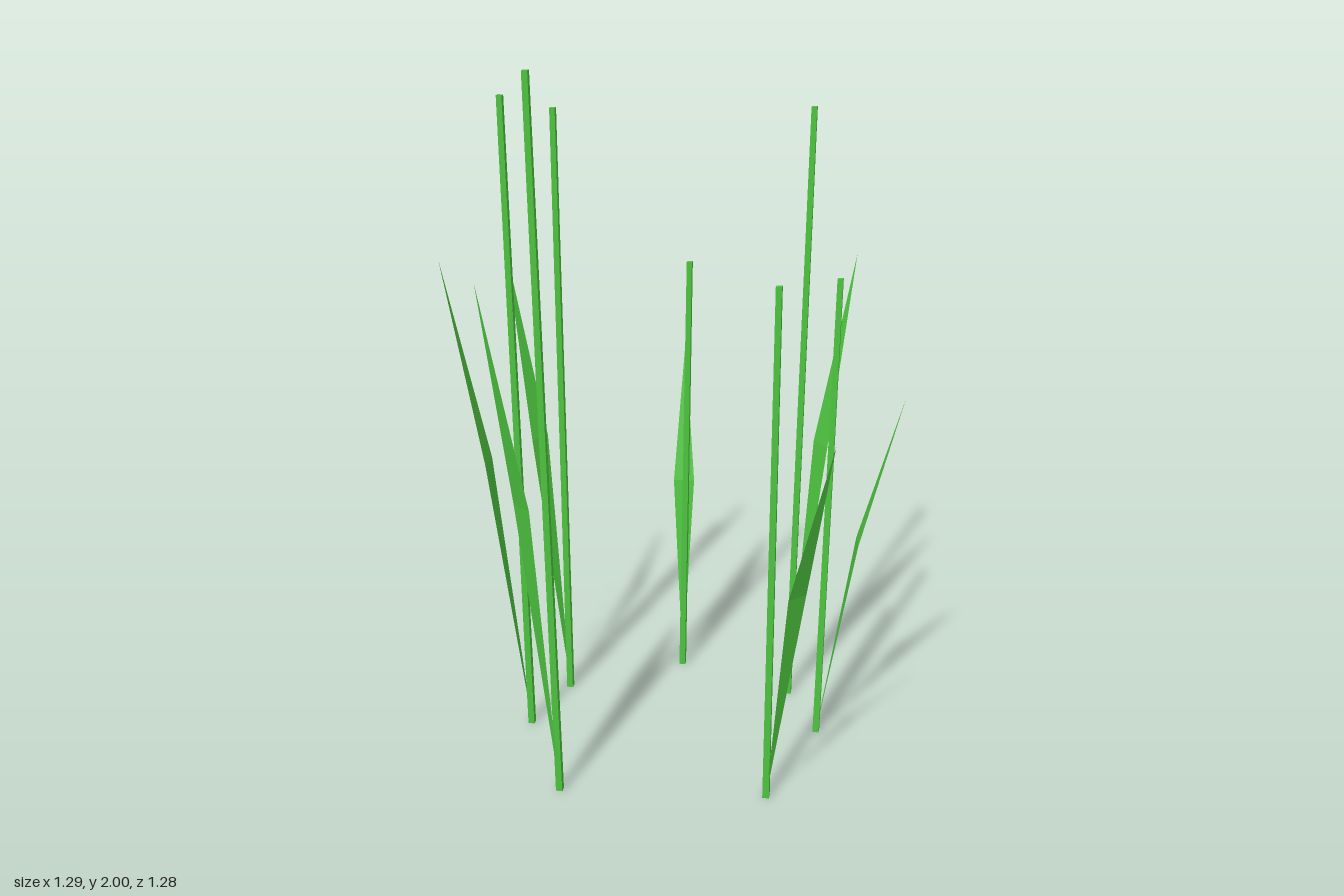
import * as THREE from 'three';

// Each plant: stalk base x, base z, height, top x, leaf tip x, leaf tip z
const PLANTS = [
  [-0.431, 0.065, 2.0, -0.468, -0.645, 0.102],
  [-0.323, -0.295, 1.885, -0.353, -0.48, -0.451],
  [-0.118, -0.418, 1.815, -0.128, -0.175, -0.64],
  [0.032, 0.413, 1.475, 0.036, 0.051, 0.638],
  [0.258, -0.345, 1.335, 0.28, 0.389, -0.53],
  [0.362, 0.218, 1.395, 0.392, 0.54, 0.34],
  [0.429, -0.008, 1.82, 0.464, 0.642, -0.012],
];

// Four-sided tapering stalk, leaning sideways
function stalkGeometry(height, lean) {
  const geo = new THREE.CylinderGeometry(0.011, 0.013, height, 4);
  geo.translate(0, height / 2, 0);
  const p = geo.attributes.position;
  for (let i = 0; i < p.count; i++) p.setX(i, p.getX(i) + lean * p.getY(i) / height);
  geo.computeVertexNormals();
  return geo;
}

// Diamond blade bent across its widest line: root, two shoulders, tip
function leafGeometry(height, dx, dz) {
  const reach = Math.hypot(dx, dz);
  const sx = (-dz / reach) * 0.032, sz = (dx / reach) * 0.032;
  const mid = 0.46, midY = 0.447 * height;
  const root = [0, 0, 0];
  const a = [dx * mid + sx, midY, dz * mid + sz];
  const b = [dx * mid - sx, midY, dz * mid - sz];
  const tip = [dx, 0.758 * height, dz];
  const geo = new THREE.BufferGeometry();
  geo.setAttribute('position', new THREE.Float32BufferAttribute(
    [root, a, b, b, a, tip].flat(), 3));
  geo.computeVertexNormals();
  return geo;
}

export function createModel() {
  const model = new THREE.Group();
  model.name = 'reeds';
  const green = new THREE.MeshStandardMaterial({ color: 0x4dc33f, flatShading: true, side: THREE.DoubleSide });
  green.name = 'reed green';

  for (const [x, z, height, topX, tipX, tipZ] of PLANTS) {
    const reed = new THREE.Group();
    reed.name = 'reed';
    reed.position.set(x, 0, z);
    const stalk = new THREE.Mesh(stalkGeometry(height, topX - x), green);
    stalk.name = 'stalk';
    const leaf = new THREE.Mesh(leafGeometry(height, tipX - x, tipZ - z), green);
    leaf.name = 'leaf';
    reed.add(stalk, leaf);
    model.add(reed);
  }
  return model;
}
